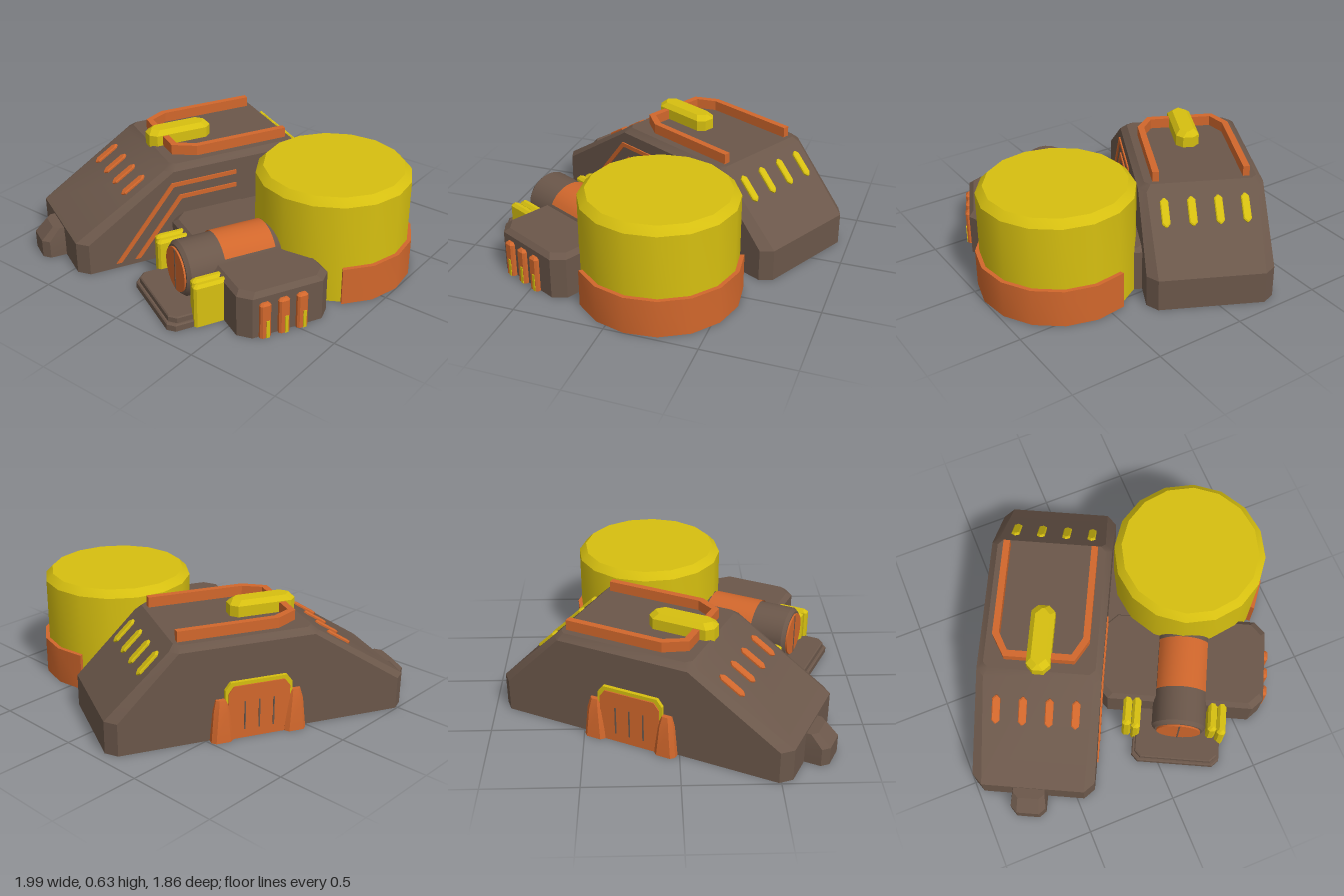
import * as THREE from 'three';
import { toCreasedNormals } from 'three/addons/utils/BufferGeometryUtils.js';

const flat = (name, color) => {
  const m = new THREE.MeshStandardMaterial({ color, side: THREE.DoubleSide });
  m.name = name;
  return m;
};

export function createModel() {
  const brown = flat('brown hull', 0x6b574a);
  const orange = flat('orange trim', 0xd1672c);
  const yellow = flat('yellow paint', 0xd6bf10);

  const model = new THREE.Group();
  model.name = 'industrialBase';
  // everything is laid out square, then turned as a whole
  const base = new THREE.Group();
  base.name = 'buildings';
  base.rotation.y = -0.4636;
  model.add(base);

  const add = (name, geo, mat, x = 0, y = 0, z = 0) => {
    const mesh = new THREE.Mesh(toCreasedNormals(geo, 0.5), mat);
    mesh.name = name;
    mesh.position.set(x, y, z);
    base.add(mesh);
    return mesh;
  };

  // open-bottomed block from octagonal rings [y, x0, x1, z0, z1, cornerCut]
  const stack = (rings) => {
    const loops = rings.map(([y, x0, x1, z0, z1, c]) => [
      [x1, y, z1 - c], [x1, y, z0 + c], [x1 - c, y, z0], [x0 + c, y, z0],
      [x0, y, z0 + c], [x0, y, z1 - c], [x0 + c, y, z1], [x1 - c, y, z1],
    ]);
    const pos = [];
    for (let i = 0; i + 1 < loops.length; i++) {
      const a = loops[i], b = loops[i + 1];
      for (let j = 0; j < 8; j++) {
        const k = (j + 1) % 8;
        pos.push(...a[j], ...a[k], ...b[k], ...a[j], ...b[k], ...b[j]);
      }
    }
    const top = loops[loops.length - 1];
    for (let j = 1; j < 7; j++) pos.push(...top[0], ...top[j], ...top[j + 1]);
    const geo = new THREE.BufferGeometry();
    geo.setAttribute('position', new THREE.Float32BufferAttribute(pos, 3));
    return geo;
  };

  // block with cut corners and a bevelled top
  const block = (y0, y1, x0, x1, z0, z1, cut, bevel) => stack([
    [y0, x0, x1, z0, z1, cut],
    [y1 - bevel, x0, x1, z0, z1, cut],
    [y1, x0 + bevel, x1 - bevel, z0 + bevel, z1 - bevel, cut],
  ]);

  const extrude = (pts, depth) => new THREE.ExtrudeGeometry(
    new THREE.Shape(pts.map(([x, y]) => new THREE.Vector2(x, y))),
    { depth, bevelEnabled: false });
  const planPlate = (pts, depth) => extrude(pts, depth).rotateX(Math.PI / 2);  // points are x, z
  const wallPlate = (pts, depth) => extrude(pts, depth).rotateY(-Math.PI / 2); // points are z, y

  // main hall with sloped ends, and its nose
  add('mainHall', stack([
    [0, -0.67, 0.005, -0.745, 0.935, 0.055],
    [0.18, -0.67, 0.005, -0.745, 0.935, 0.055],
    [0.515, -0.67, 0.005, -0.405, 0.415, 0.04],
    [0.545, -0.635, -0.03, -0.375, 0.375, 0.03],
  ]), brown);
  add('hallNose', stack([
    [0, -0.45, -0.255, 0.8, 1.06, 0.035],
    [0.1, -0.45, -0.255, 0.8, 1.06, 0.035],
    [0.17, -0.44, -0.265, 0.8, 0.99, 0.03],
  ]), brown);

  // slots across both slopes
  for (let i = 0; i < 4; i++) {
    const x = -0.552 + i * 0.144;
    const slot = () => block(-0.015, 0.014, -0.022, 0.022, -0.08, 0.08, 0.018, 0.005);
    add('frontSlot', slot(), orange, x, 0.418, 0.565).rotation.x = 0.575;
    add('backSlot', slot(), yellow, x, 0.431, -0.49).rotation.x = -0.778;
  }

  // roof rail and hatch
  const railHalf = [[0.262, -0.35], [0.262, 0.2], [0.19, 0.322]];
  const railInner = [[0.172, 0.286], [0.226, 0.188], [0.226, -0.35]];
  const mirror = (pts) => pts.map(([x, z]) => [-x, z]).reverse();
  add('roofRail', planPlate(
    [...railHalf, ...mirror(railHalf), ...mirror(railInner), ...railInner], 0.065),
    orange, -0.335, 0.602, 0);
  add('roofHatch', block(0.53, 0.63, -0.4, -0.27, 0.02, 0.39, 0.035, 0.025), yellow);

  // angled trim lines on the inner wall
  const trims = [
    [[0, 0.45], [0.39, 0.45], [0.73, 0.03], [0.7, 0.03], [0.378, 0.426], [0, 0.426]],
    [[0, 0.37], [0.345, 0.37], [0.62, 0.03], [0.59, 0.03], [0.333, 0.346], [0, 0.346]],
  ];
  for (const t of trims) add('wallTrim', wallPlate(t, 0.025), orange, 0.013);

  // side door with frame, grooves and two buttresses
  const arch = (w, h) => [[0.06 - w, 0], [0.06 + w, 0], [0.06 + w, h - 0.04],
    [0.06 + w - 0.03, h], [0.06 - w + 0.03, h], [0.06 - w, h - 0.04]];
  add('doorFrame', wallPlate(arch(0.185, 0.32), 0.035), yellow, -0.655);
  add('doorPanel', wallPlate(arch(0.17, 0.3), 0.042), orange, -0.655);
  for (const z of [-0.02, 0.06, 0.14]) {
    add('doorGroove', new THREE.BoxGeometry(0.006, 0.16, 0.008), brown, -0.697, 0.13, z);
  }
  for (const z of [-0.143, 0.264]) {
    add('doorButtress', stack([
      [0, -0.72, -0.65, -0.06, 0.06, 0.02],
      [0.17, -0.71, -0.65, -0.045, 0.045, 0.02],
      [0.23, -0.695, -0.65, -0.03, 0.03, 0.015],
    ]), orange, 0, 0, z);
  }

  // storage tank with a partial band round its foot
  const tankX = 0.435, tankZ = -0.374;
  const lathe = (pts, n) => new THREE.LatheGeometry(pts.map(([x, y]) => new THREE.Vector2(x, y)), n);
  add('tank', lathe([[0.42, 0], [0.42, 0.56], [0.38, 0.6], [0, 0.6]], 16), yellow, tankX, 0, tankZ);
  const arc = (r) => Array.from({ length: 8 }, (_, i) => {
    const a = -Math.PI * 0.75 + i * Math.PI / 8;
    return [r * Math.cos(a), r * Math.sin(a)];
  });
  add('tankBand', planPlate([...arc(0.443), ...arc(0.415).reverse()], 0.21), orange, tankX, 0.21, tankZ);

  // low annex and the link behind it
  add('annex', block(0, 0.255, -0.02, 0.907, -0.11, 0.405, 0.06, 0.025), brown);
  add('link', block(0, 0.25, -0.03, 0.2, -0.54, 0, 0.04, 0.02), brown);

  // barrel vault with a roof panel and round door
  const bx = 0.445;
  add('barrel', lathe([[0.15, 0], [0.15, 0.53], [0.133, 0.55], [0, 0.55]], 24).rotateX(Math.PI / 2),
    brown, bx, 0.2, 0);
  add('barrelPanel', new THREE.CylinderGeometry(0.156, 0.156, 0.29, 12, 1, true, Math.PI - 1.07, 2.14)
    .rotateX(Math.PI / 2), orange, bx, 0.2, 0.195);
  add('roundDoor', new THREE.CylinderGeometry(0.122, 0.122, 0.02, 24).rotateX(Math.PI / 2),
    orange, bx, 0.2, 0.55);
  add('doorSeam', new THREE.BoxGeometry(0.008, 0.24, 0.004), brown, bx, 0.2, 0.561);

  // stepped landing pad
  add('padLower', block(0, 0.038, 0.195, 0.69, 0.38, 0.7, 0.035, 0.006), brown);
  add('padUpper', block(0.03, 0.072, 0.21, 0.675, 0.38, 0.685, 0.035, 0.006), brown);

  // paired clamps either side of the barrel
  for (const x of [0.13, 0.605]) {
    for (const [dx, z1] of [[0, 0.55], [0.051, 0.565]]) {
      add('clamp', block(0, 0.243, x + dx, x + dx + 0.049, 0.36, z1, 0.012, 0.015), yellow);
    }
  }

  // vents on the annex end wall
  for (const z of [0.072, 0.175, 0.28]) {
    add('vent', block(0, 0.2, 0.88, 0.932, z - 0.03, z + 0.03, 0.01, 0.012), orange);
    add('ventStripe', new THREE.BoxGeometry(0.006, 0.1, 0.018), yellow, 0.933, 0.05, z - 0.008);
  }

  return model;
}
